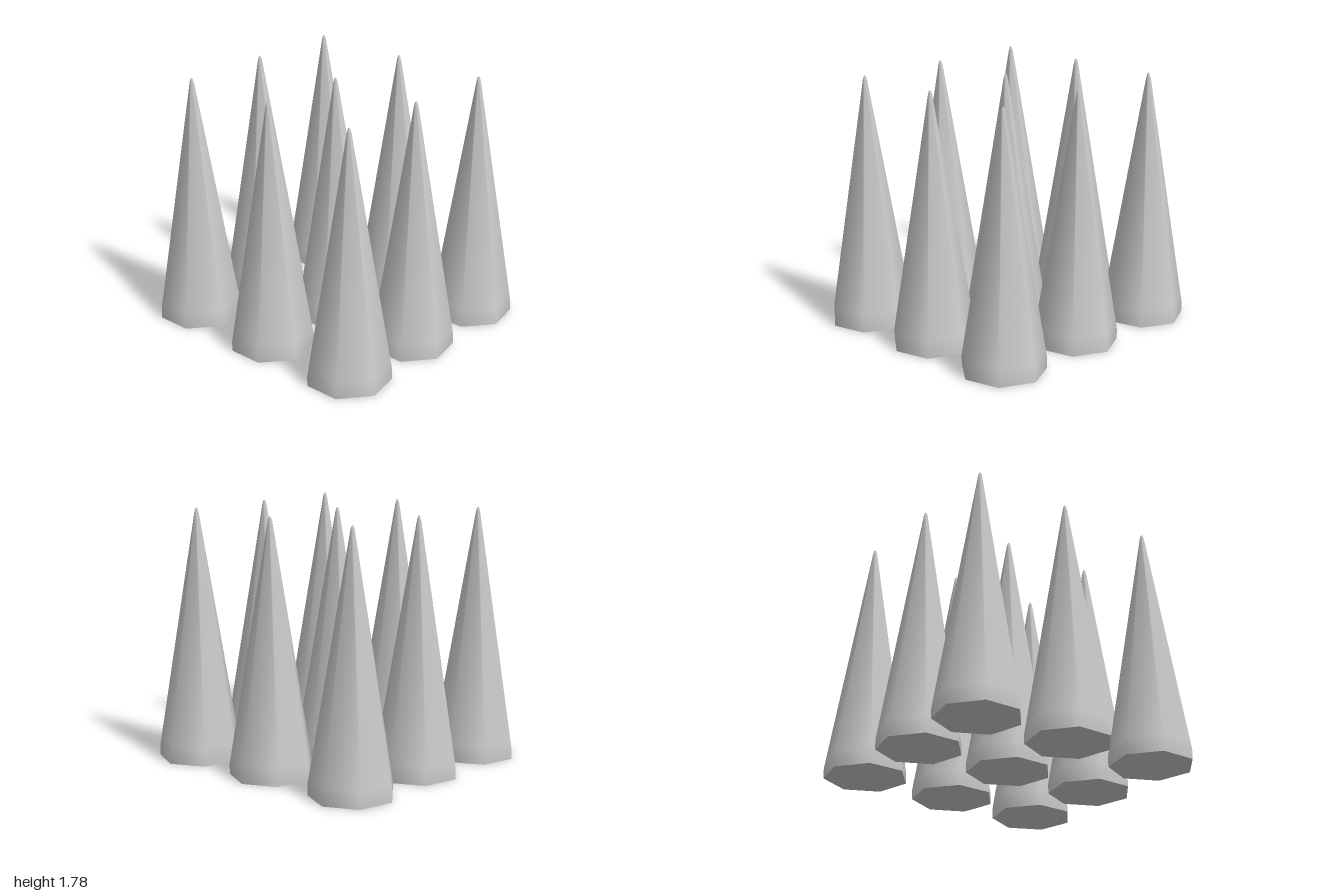
import * as THREE from 'three';

const SIDES = 7;
const RADIUS = 0.292;

export function createModel() {
  const group = new THREE.Group();
  group.name = 'spikeField';
  const material = new THREE.MeshStandardMaterial({ color: 0xcccccc });

  // Spike outline: short upright foot, long taper, blunt rounded tip
  const profile = [
    [RADIUS, 0], [RADIUS, 0.07], [0.284, 0.12], [0.015, 1.745], [0.008, 1.77], [0, 1.778],
  ].map(([r, y]) => new THREE.Vector2(r, y));
  const bodyGeometry = new THREE.LatheGeometry(profile, SIDES, Math.PI / 2);

  // Flat underside, matching the corners of the body
  const baseGeometry = new THREE.CircleGeometry(RADIUS, SIDES).rotateX(Math.PI / 2);

  // Three by three grid of spikes
  for (const z of [-0.715, 0.008, 0.715]) {
    for (const x of [-0.682, -0.025, 0.647]) {
      const spike = new THREE.Group();
      spike.name = 'spike';
      const body = new THREE.Mesh(bodyGeometry, material);
      body.name = 'spikeBody';
      const base = new THREE.Mesh(baseGeometry, material);
      base.name = 'spikeBase';
      spike.add(body, base);
      spike.position.set(x, 0, z);
      group.add(spike);
    }
  }
  return group;
}
